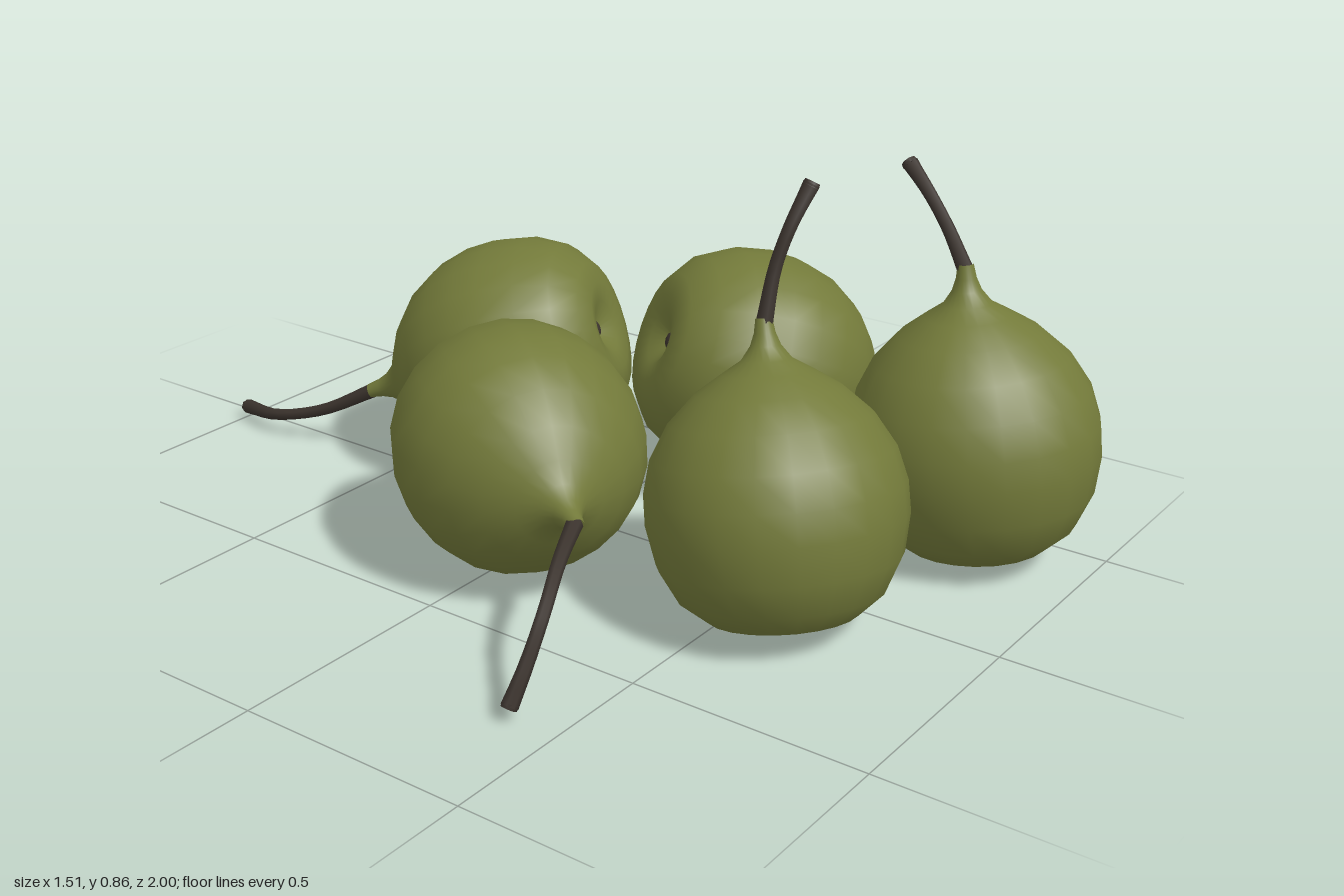
import * as THREE from 'three';
import { mergeVertices } from 'three/addons/utils/BufferGeometryUtils.js';

const skin = new THREE.MeshStandardMaterial({ color: 0x737a3a });
skin.name = 'olive green skin';
const bark = new THREE.MeshStandardMaterial({ color: 0x3b332d });
bark.name = 'dark brown stem';

const UP = new THREE.Vector3(0, 1, 0);
const MID = 0.255; // height of the fruit's middle above its base

// Half outline of a fruit, from blossom dimple to the neck [radius, height]
const OUTLINE = [
  [0, 0.045], [0.025, 0.035], [0.06, 0.012], [0.1, 0.003], [0.15, 0.015], [0.205, 0.06],
  [0.242, 0.13], [0.258, 0.21], [0.257, 0.275], [0.24, 0.345], [0.2, 0.415], [0.145, 0.47],
  [0.09, 0.507], [0.05, 0.532], [0.03, 0.56], [0.021, 0.585], [0.016, 0.615],
];

// Lathed fruit with gentle lumps that fade out at both ends
function fruitGeometry(seed) {
  const geo = new THREE.LatheGeometry(OUTLINE.map(([r, y]) => new THREE.Vector2(r, y - MID)), 22);
  const pos = geo.attributes.position;
  for (let i = 0; i < pos.count; i++) {
    const x = pos.getX(i), y = pos.getY(i), z = pos.getZ(i);
    const a = Math.atan2(z, x);
    const k = 1 + 0.013 * Math.sin(3 * a + seed) * Math.cos(5 * y + seed) + 0.01 * Math.cos(2 * a + seed * 2);
    pos.setXYZ(i, x * k, y, z * k);
  }
  geo.deleteAttribute('uv');
  geo.deleteAttribute('normal');
  const merged = mergeVertices(geo, 1e-4);
  merged.computeVertexNormals();
  return merged;
}

// Bent stem, thin in the middle and flared at the tip
function stemGeometry(points, sides = 7, steps = 12) {
  const curve = new THREE.CatmullRomCurve3(points);
  const geo = new THREE.TubeGeometry(curve, steps, 1, sides, false);
  const pos = geo.attributes.position;
  const p = new THREE.Vector3();
  for (let i = 0; i < pos.count; i++) {
    const t = Math.floor(i / (sides + 1)) / steps;
    const c = curve.getPointAt(t);
    const r = 0.0125 + 0.005 * Math.pow(1 - t, 3) + 0.005 * Math.pow(t, 4);
    p.fromBufferAttribute(pos, i).sub(c).multiplyScalar(r).add(c);
    pos.setXYZ(i, p.x, p.y, p.z);
  }
  return geo;
}

// Each fruit: middle, direction of its axis, and the stem's path after the neck
const FRUITS = [
  { name: 'frontRightPear', at: [-0.13, 0.25, 0.57], axis: [0.146, 0.966, -0.205], length: 0.97,
    stem: [[-0.055, 0.68, 0.505], [-0.03, 0.76, 0.52], [0.01, 0.84, 0.54]] },
  { name: 'frontLeftPear', at: [0.375, 0.257, 0.735], axis: [0, 0.99, -0.12], length: 1,
    stem: [[0.38, 0.68, 0.645], [0.385, 0.745, 0.595], [0.4, 0.795, 0.54]] },
  { name: 'leftPear', at: [0.405, 0.265, 0.19], axis: [0.71, -0.35, 0.61], length: 1,
    stem: [[0.69, 0.09, 0.43], [0.74, 0.018, 0.47]] },
  { name: 'rightPear', at: [-0.26, 0.255, 0.045], axis: [-0.56, -0.03, 0.83], length: 0.98,
    stem: [[-0.55, 0.215, 0.365], [-0.64, 0.16, 0.4], [-0.7, 0.08, 0.405], [-0.74, 0.017, 0.4]] },
  { name: 'backPear', at: [0.13, 0.265, -0.305], axis: [-0.37, -0.35, -0.86], length: 1,
    stem: [[-0.035, 0.07, -0.74], [-0.065, 0.035, -0.87], [-0.042, 0.018, -0.99]] },
];

export function createModel() {
  const model = new THREE.Group();
  model.name = 'pears';

  FRUITS.forEach((f, i) => {
    const pear = new THREE.Group();
    pear.name = f.name;
    const centre = new THREE.Vector3(...f.at);
    const axis = new THREE.Vector3(...f.axis).normalize();
    const turn = new THREE.Quaternion().setFromUnitVectors(UP, axis);

    const body = new THREE.Mesh(fruitGeometry(i * 1.7), skin);
    body.name = 'fruit';
    body.position.copy(centre);
    body.quaternion.copy(turn);
    body.scale.y = f.length;
    pear.add(body);

    // Dried blossom in the dimple
    const calyx = new THREE.Mesh(new THREE.SphereGeometry(0.02, 8, 6), bark);
    calyx.name = 'calyx';
    calyx.scale.y = 0.5;
    calyx.position.copy(centre).addScaledVector(axis, (0.038 - MID) * f.length);
    calyx.quaternion.copy(turn);
    pear.add(calyx);

    // Stem grows out of the neck
    const neck = centre.clone().addScaledVector(axis, 0.345 * f.length);
    const points = [neck, ...f.stem.map((p) => new THREE.Vector3(...p))];
    const stem = new THREE.Mesh(stemGeometry(points), bark);
    stem.name = 'stem';
    pear.add(stem);

    // Cut end of the stem
    const tip = points[points.length - 1];
    const tipDir = new THREE.CatmullRomCurve3(points).getTangentAt(1);
    const cut = new THREE.Mesh(new THREE.CylinderGeometry(0.016, 0.0175, 0.01, 7), bark);
    cut.name = 'stemEnd';
    cut.position.copy(tip);
    cut.quaternion.setFromUnitVectors(UP, tipDir);
    pear.add(cut);

    model.add(pear);
  });
  return model;
}
